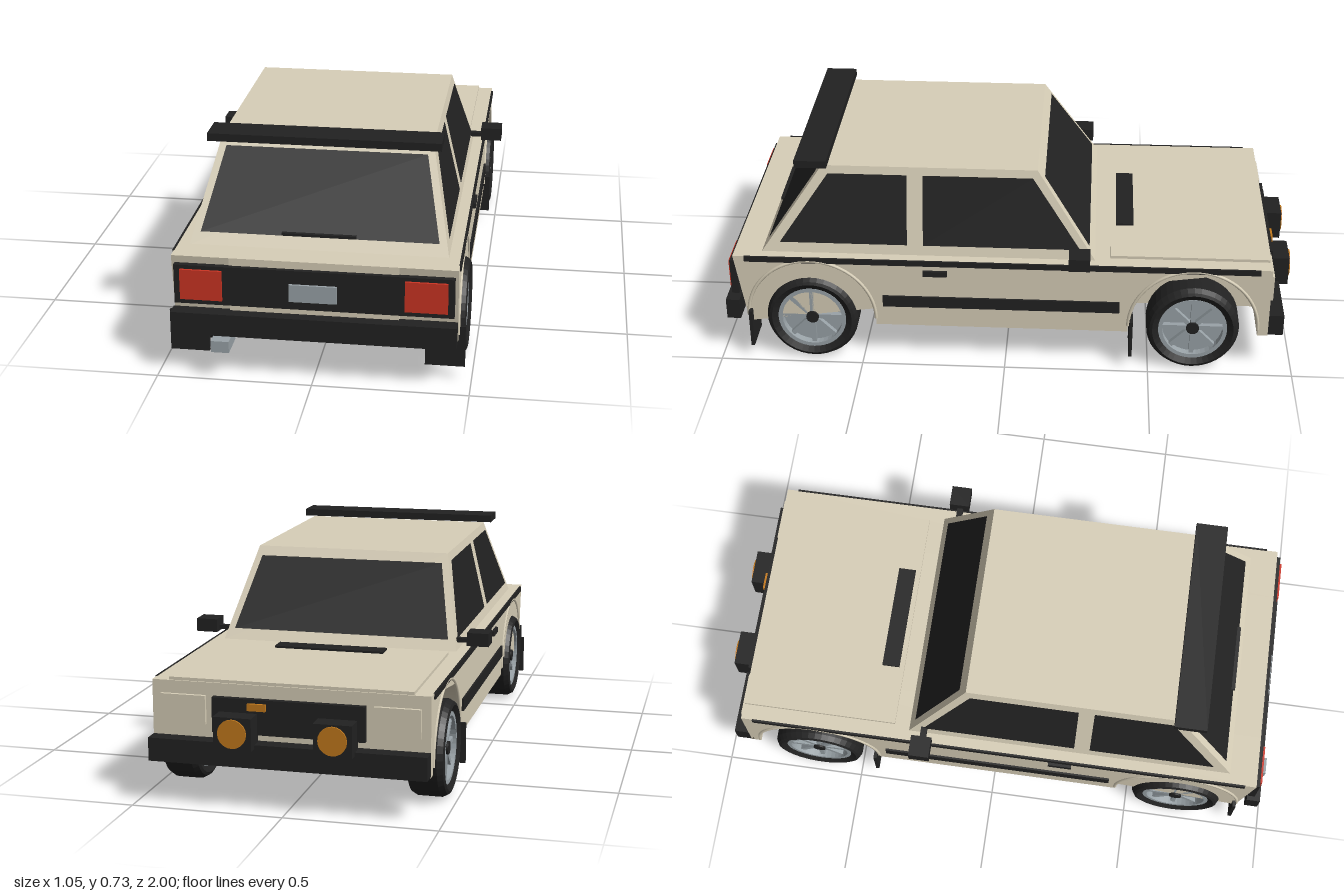
import * as THREE from 'three';

const mat = (name, color, side = THREE.FrontSide) => {
  const m = new THREE.MeshStandardMaterial({ color, side });
  m.name = name;
  return m;
};

export function createModel() {
  const car = new THREE.Group();
  car.name = 'hatchbackCar';
  const beige = mat('beigePaint', 0xd8cfb8);
  const black = mat('blackTrim', 0x222222, THREE.DoubleSide);
  const silver = mat('silverMetal', 0x9aa3a8);
  const red = mat('redLens', 0xcc3423);
  const amber = mat('amberLens', 0xc47a1c);

  const add = (name, geo, material, parent = car) => {
    const m = new THREE.Mesh(geo, material);
    m.name = name;
    parent.add(m);
    return m;
  };
  // Box given by its extents on each axis
  const box = (name, material, x0, x1, y0, y1, z0, z1, parent = car) =>
    add(name, new THREE.BoxGeometry(x1 - x0, y1 - y0, z1 - z0)
      .translate((x0 + x1) / 2, (y0 + y1) / 2, (z0 + z1) / 2), material, parent);
  // The same box on both sides of the car
  const pair = (name, material, x0, x1, ...rest) => {
    box(name + 'Left', material, x0, x1, ...rest);
    box(name + 'Right', material, -x1, -x0, ...rest);
  };

  // Lower body: centre block plus side slabs with open wheel arches
  const W = 0.455, INNER = 0.27, FLOOR = 0.14, BELT = 0.402;
  const AXLES = [0.675, -0.65], ARCH_Y = 0.165, ARCH_R = 0.225;
  box('centreBody', beige, -INNER, INNER, FLOOR, BELT, -0.91, 0.94);
  const profile = new THREE.Shape();
  const dip = Math.asin((ARCH_Y - FLOOR) / ARCH_R);
  profile.moveTo(-0.94, FLOOR);
  for (const z of AXLES) profile.absarc(-z, ARCH_Y, ARCH_R, Math.PI + dip, -dip, true);
  profile.lineTo(0.91, FLOOR);
  profile.lineTo(0.91, BELT);
  profile.lineTo(-0.94, BELT);
  for (const x of [INNER, -W]) {
    const side = new THREE.ExtrudeGeometry(profile, { depth: W - INNER, bevelEnabled: false, curveSegments: 24 });
    add('bodySide', side.rotateY(Math.PI / 2).translate(x, 0, 0), beige);
  }

  // Cabin: a box tapered towards the roof
  const ROOF = 0.706;
  const at = (a, b, y) => a + (b - a) * (y - 0.4) / (ROOF - 0.4);
  const sideX = y => at(0.417, 0.345, y);
  const rearZ = y => at(0.845, 0.63, y);
  const frontZ = y => at(-0.308, -0.105, y);
  const cabin = new THREE.BoxGeometry(2, 1, 2);
  const p = cabin.attributes.position;
  for (let i = 0; i < p.count; i++) {
    const y = p.getY(i) > 0 ? ROOF : 0.4;
    p.setXYZ(i, p.getX(i) * sideX(y), y, p.getZ(i) > 0 ? rearZ(y) : frontZ(y));
  }
  cabin.computeVertexNormals();
  add('cabin', cabin, beige);

  // Glass: flat panes just outside the cabin faces, corners counterclockwise
  const pane = (name, c) => {
    const g = new THREE.BufferGeometry();
    g.setAttribute('position', new THREE.Float32BufferAttribute(c.flat(), 3));
    g.setIndex([0, 1, 2, 0, 2, 3]);
    g.computeVertexNormals();
    add(name, g, black);
  };
  const E = 0.004, LOW = 0.438, HIGH = 0.675;
  const endPane = (name, zAt, s) => {
    const c = (y, k) => [k * s * (sideX(y) - 0.024), y, zAt(y) + s * E];
    pane(name, [c(LOW, -1), c(LOW, 1), c(HIGH, 1), c(HIGH, -1)]);
  };
  endPane('rearWindow', rearZ, 1);
  endPane('windscreen', frontZ, -1);
  for (const s of [1, -1]) {
    const sidePane = (name, zb0, zt0, zt1, zb1) => {
      const c = (y, z) => [s * (sideX(y) + E), y, z];
      const pts = [c(LOW, zb0), c(LOW, zb1), c(HIGH + 0.005, zt1), c(HIGH + 0.005, zt0)];
      pane(name, s > 0 ? pts : pts.reverse());
    };
    sidePane('rearSideWindow', 0.78, 0.61, 0.34, 0.34);
    sidePane('frontSideWindow', 0.285, 0.285, -0.09, -0.255);
  }

  // Roof, bonnet and side trim
  box('roofSpoiler', black, -0.377, 0.377, 0.71, 0.736, 0.61, 0.72);
  box('rearWiper', black, -0.12, 0.12, 0.44, 0.449, rearZ(0.445), rearZ(0.445) + 0.014);
  box('bonnetPanel', beige, -0.4, 0.4, 0.4, 0.412, -0.905, -0.36);
  box('bonnetVent', black, -0.19, 0.19, 0.41, 0.419, -0.44, -0.378);
  pair('beltStripe', black, W - 0.002, W + 0.005, 0.383, 0.403, -0.87, 0.9);
  pair('sideMoulding', black, W - 0.002, W + 0.007, 0.218, 0.26, -0.395, 0.425);
  pair('doorHandle', black, W - 0.002, W + 0.01, 0.345, 0.365, 0.2, 0.283);
  pair('mirror', black, 0.45, 0.525, 0.42, 0.466, -0.29, -0.218);
  pair('mirrorArm', black, 0.4, 0.455, 0.425, 0.44, -0.262, -0.24);

  // Tail
  box('tailPanel', black, -0.445, 0.445, 0.245, 0.377, 0.93, 0.955);
  pair('tailLight', red, 0.29, 0.425, 0.262, 0.364, 0.95, 0.963);
  box('numberPlate', silver, -0.076, 0.076, 0.274, 0.332, 0.95, 0.963);
  box('rearBumper', black, -W, W, 0.147, 0.222, 0.93, 0.978);
  box('exhaust', silver, -0.322, -0.264, 0.1, 0.139, 0.9, 1);

  // Nose
  box('grille', black, -0.25, 0.25, 0.245, 0.36, -0.93, -0.9);
  pair('headlight', beige, 0.275, 0.425, 0.265, 0.36, -0.922, -0.9);
  box('grilleBadge', amber, 0.07, 0.13, 0.325, 0.348, -0.94, -0.925);
  box('frontBumper', black, -W, W, 0.145, 0.222, -0.962, -0.9);
  pair('fogLampHousing', black, 0.1, 0.225, 0.21, 0.315, -0.994, -0.92);
  for (const s of [1, -1]) {
    add('fogLampLens', new THREE.CylinderGeometry(0.047, 0.047, 0.012, 20)
      .rotateX(Math.PI / 2).translate(s * 0.1625, 0.263, -0.994), amber);
  }

  // Wheel parts are built around the x axis, then placed at each corner
  const R = 0.16;
  const tyreProfile = [[0.118, -0.05], [0.14, -0.0625], [0.15, -0.058], [R, -0.04], [R, 0.04],
    [0.15, 0.058], [0.14, 0.0625], [0.118, 0.05], [0.118, -0.05]].map(a => new THREE.Vector2(...a));
  const rimProfile = [[0.105, -0.052], [0.119, -0.052], [0.119, 0.052], [0.105, 0.052], [0.105, -0.052]]
    .map(a => new THREE.Vector2(...a));
  const lathe = (pts, n) => {
    const g = new THREE.LatheGeometry(pts, n).toNonIndexed();
    g.computeVertexNormals();
    return g.rotateZ(-Math.PI / 2);
  };
  const disc = (r, w) => new THREE.CylinderGeometry(r, r, w, 32).rotateZ(Math.PI / 2);
  const tyre = lathe(tyreProfile, 40), rim = lathe(rimProfile, 40);
  for (const z of AXLES) {
    for (const s of [1, -1]) {
      const wheel = new THREE.Group();
      wheel.name = 'wheel';
      wheel.position.set(s * 0.4125, R + 0.004, z);
      car.add(wheel);
      add('tyre', tyre, black, wheel);
      add('rim', rim, silver, wheel);
      add('wheelDisc', disc(0.108, 0.05), silver, wheel);
      add('hub', disc(0.022, 0.1), black, wheel);
      for (let i = 0; i < 8; i++) {
        const spoke = add('spoke', new THREE.BoxGeometry(0.085, 0.09, 0.016).translate(0, 0.062, 0), silver, wheel);
        spoke.rotation.x = i * Math.PI / 4;
      }
      // Arch lip and mud flap
      const lip = new THREE.TorusGeometry(0.224, 0.006, 6, 32, Math.PI);
      add('archLip', lip.rotateY(Math.PI / 2).translate(s * W, ARCH_Y, z), beige);
    }
    const flap = z > 0 ? 0.89 : -0.437;
    pair('mudFlap', black, 0.35, 0.478, 0.05, 0.19, flap - 0.006, flap + 0.006);
  }
  return car;
}
